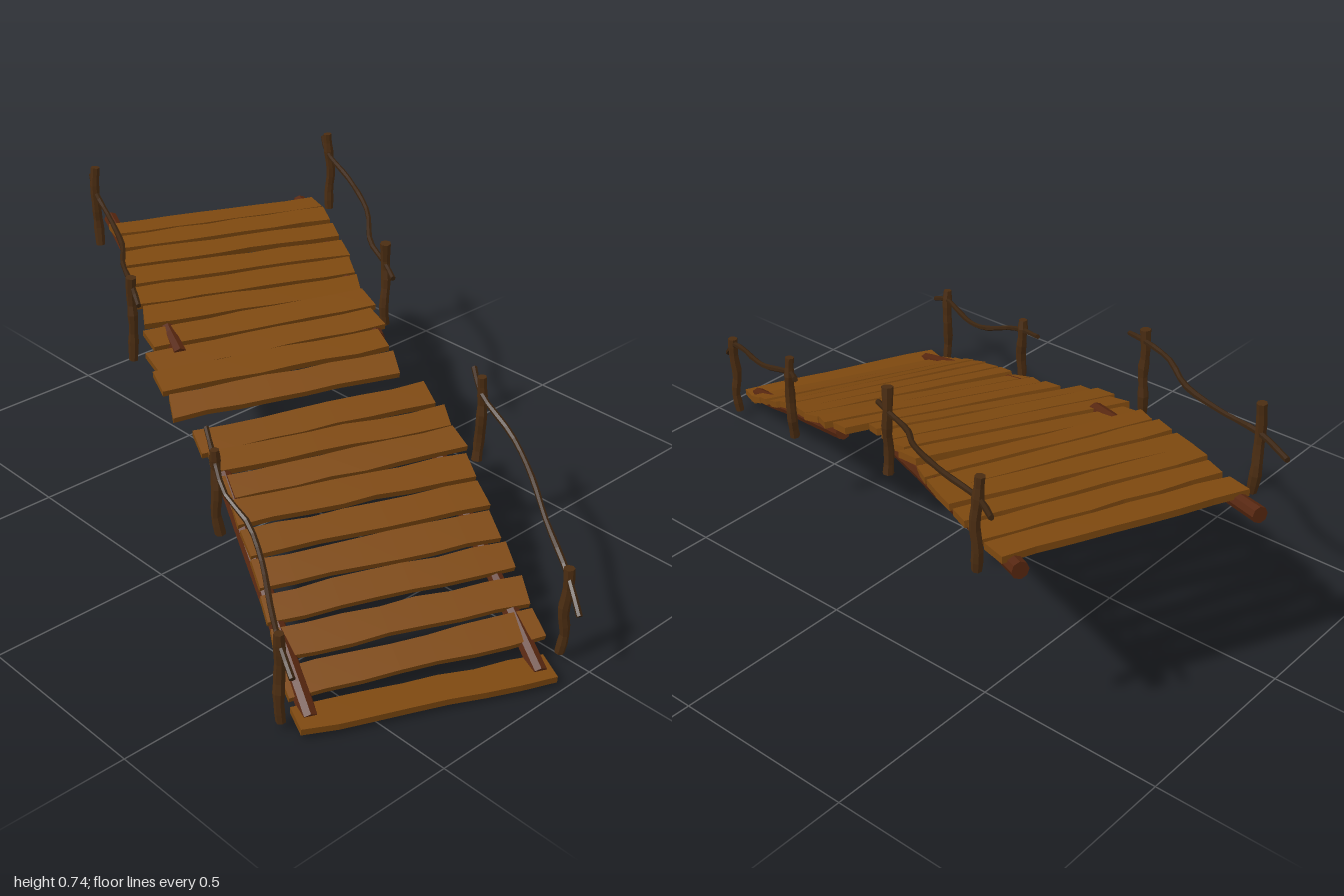
import * as THREE from 'three';

const V = (p) => new THREE.Vector3(...p);
const mat = (color) => new THREE.MeshStandardMaterial({ color, flatShading: true, roughness: 0.9 });

// Small seeded noise in -1..1
let seed = 11;
const rnd = () => {
  seed = (seed * 16807) % 2147483647;
  return (seed / 2147483647) * 2 - 1;
};

function add(parent, geometry, material, name) {
  const mesh = new THREE.Mesh(geometry, material);
  mesh.name = name;
  parent.add(mesh);
  return mesh;
}

// Rough wooden stick: rings swept along points, with uneven radius and closed ends
function stick(points, radius, sides, steps, rough) {
  const curve = new THREE.CatmullRomCurve3(points.map(V));
  const frames = curve.computeFrenetFrames(steps);
  const pos = [], index = [];
  for (let i = 0; i <= steps; i++) {
    const c = curve.getPointAt(i / steps);
    const r = radius * (1 + rough * rnd());
    for (let j = 0; j < sides; j++) {
      const a = (j / sides) * Math.PI * 2;
      const p = c.clone()
        .addScaledVector(frames.normals[i], Math.cos(a) * r)
        .addScaledVector(frames.binormals[i], Math.sin(a) * r);
      pos.push(p.x, p.y, p.z);
      if (i < steps) {
        const k = i * sides, n = (j + 1) % sides;
        index.push(k + j, k + n, k + sides + j, k + n, k + sides + n, k + sides + j);
      }
    }
  }
  for (let j = 1; j < sides - 1; j++) {
    const e = steps * sides;
    index.push(0, j + 1, j, e, e + j, e + j + 1);
  }
  const g = new THREE.BufferGeometry();
  g.setAttribute('position', new THREE.Float32BufferAttribute(pos, 3));
  g.setIndex(index);
  g.computeVertexNormals();
  return g;
}

// Plank along z with slightly wandering long edges and worn ends
function plankGeometry(width, length) {
  const segs = 7;
  const g = new THREE.BoxGeometry(width, 0.018, length, 1, 1, segs);
  const left = [], right = [];
  for (let i = 0; i <= segs; i++) {
    left.push(rnd() * 0.004);
    right.push(rnd() * 0.004);
  }
  const skew = rnd() * 0.008;
  const p = g.attributes.position;
  for (let i = 0; i < p.count; i++) {
    const x = p.getX(i), z = p.getZ(i);
    const k = Math.round((z / length + 0.5) * segs);
    p.setX(i, x + (x < 0 ? left[k] : right[k]));
    if (k === 0 || k === segs) p.setZ(i, z + Math.sign(x) * skew);
  }
  g.computeVertexNormals();
  return g;
}

export function createModel() {
  const group = new THREE.Group();
  group.name = 'woodenBridge';
  const plankMat = mat(0x7d480f), logMat = mat(0x56260f);
  const postMat = mat(0x4a2c11), railMat = mat(0x3a2410);

  // Deck runs along its own x, turned in plan
  const deck = new THREE.Group();
  deck.name = 'deck';
  deck.rotation.y = -THREE.MathUtils.degToRad(24);
  group.add(deck);

  // Planks: [along, height of top, sideways shift]
  const planks = [
    [-0.81, 0.532, 0.005], [-0.725, 0.528, 0], [-0.635, 0.516, 0.01], [-0.54, 0.5, 0.018],
    [-0.45, 0.484, 0.025], [-0.36, 0.467, 0.03], [-0.275, 0.45, 0.035], [-0.185, 0.43, 0.045],
    [-0.105, 0.41, 0.055], [-0.015, 0.382, 0.048], [0.105, 0.338, 0.005], [0.187, 0.315, -0.01],
    [0.265, 0.288, -0.015], [0.35, 0.262, -0.015], [0.44, 0.23, -0.015], [0.53, 0.196, -0.01],
    [0.615, 0.158, -0.01], [0.705, 0.118, -0.008], [0.795, 0.076, -0.004], [0.895, 0.036, 0.005]];
  planks.forEach(([u, y, v], i) => {
    const a = planks[Math.max(i - 1, 0)], b = planks[Math.min(i + 1, planks.length - 1)];
    const plank = add(deck, plankGeometry(0.077 + rnd() * 0.005, 0.635 + rnd() * 0.012), plankMat, 'plank');
    plank.position.set(u, y - 0.01, v);
    const slope = i === planks.length - 1 ? -0.1 : Math.atan2(b[1] - a[1], b[0] - a[0]);
    const roll = i < 6 || i > 18 ? 0 : i < 13 ? 0.045 : 0.025;
    plank.rotation.set(roll + rnd() * 0.006, rnd() * 0.018, slope + rnd() * 0.03);
  });

  // Logs carrying the two halves
  const logs = [
    [[-0.925, 0.515, 0.303], [-0.6, 0.475, 0.295], [-0.2, 0.41, 0.285]],
    [[-0.88, 0.51, -0.278], [-0.55, 0.47, -0.27], [-0.13, 0.405, -0.255]],
    [[0.2, 0.275, 0.285], [0.55, 0.15, 0.285], [0.89, 0.022, 0.285]],
    [[0.17, 0.285, -0.28], [0.55, 0.15, -0.28], [0.905, 0.022, -0.28]]];
  for (const l of logs) add(deck, stick(l, 0.021, 8, 8, 0.06), logMat, 'supportLog');

  // Posts: [x, z, bottom, top], each slightly crooked
  const posts = [
    [-0.885, 0.005, 0.49, 0.73], [-0.61, -0.66, 0.5, 0.74],
    [-0.385, 0.265, 0.395, 0.64], [-0.087, -0.38, 0.395, 0.64],
    [0.16, 0.44, 0.18, 0.42], [0.415, -0.23, 0.235, 0.48],
    [0.65, 0.672, 0.02, 0.265], [0.92, 0.012, 0.02, 0.265]];
  for (const [x, z, y0, y1] of posts) {
    const pts = [0, 0.25, 0.5, 0.75, 1].map((t) =>
      [x + rnd() * 0.006, y0 + (y1 - y0) * t, z + rnd() * 0.006]);
    add(group, stick(pts, 0.0135, 7, 9, 0.14), postMat, 'post');
  }

  // Crooked branch handrails, one per pair of posts
  const rails = [
    [[-1, 0.655, -0.06], [-0.89, 0.65, 0.005], [-0.75, 0.63, 0.06], [-0.6, 0.615, 0.13],
      [-0.5, 0.62, 0.205], [-0.385, 0.61, 0.262], [-0.31, 0.593, 0.3]],
    [[-0.69, 0.695, -0.71], [-0.61, 0.68, -0.655], [-0.45, 0.655, -0.595], [-0.3, 0.625, -0.52],
      [-0.2, 0.59, -0.435], [-0.09, 0.575, -0.385], [-0.025, 0.563, -0.35]],
    [[0.345, 0.46, -0.28], [0.42, 0.432, -0.228], [0.56, 0.385, -0.19], [0.68, 0.345, -0.13],
      [0.79, 0.3, -0.06], [0.92, 0.245, 0.01], [0.99, 0.18, 0.045]],
    [[0.06, 0.42, 0.385], [0.16, 0.385, 0.44], [0.24, 0.35, 0.478], [0.33, 0.315, 0.485],
      [0.43, 0.282, 0.53], [0.56, 0.25, 0.615], [0.65, 0.235, 0.67], [0.73, 0.2, 0.705]]];
  for (const r of rails) add(group, stick(r, 0.0075, 6, 18, 0.12), railMat, 'handrail');

  return group;
}
